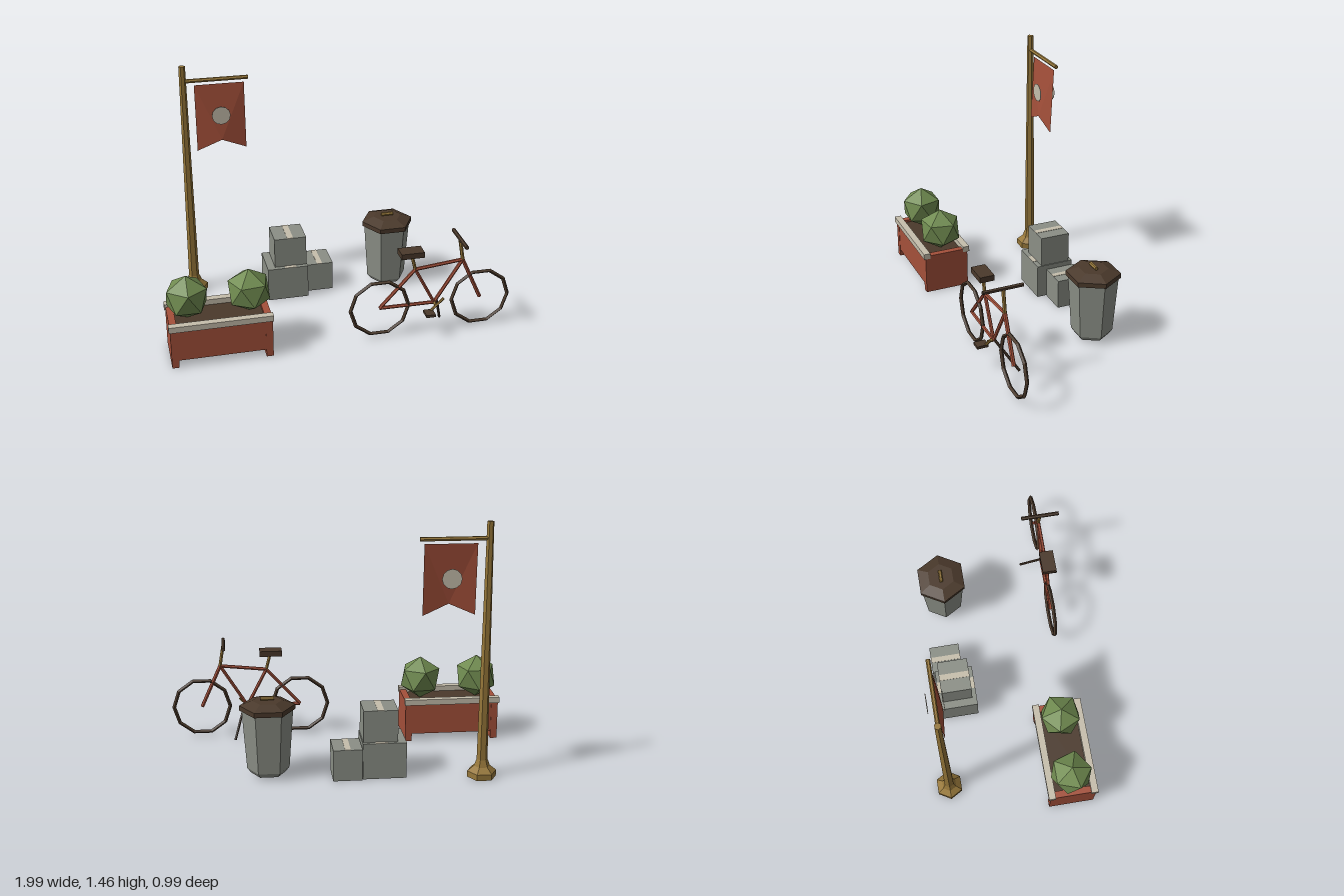
import * as THREE from 'three';

const mat = (name, color, extra = {}) =>
  Object.assign(new THREE.MeshStandardMaterial({ color, flatShading: true, ...extra }), { name });

export function createModel() {
  const red = mat('brick red', 0xa4503a);
  const banner = mat('banner red', 0xa4503a, { side: THREE.DoubleSide });
  const gold = mat('aged brass', 0x96773a);
  const brown = mat('dark brown', 0x4a392b);
  const grey = mat('stone grey', 0x8b8f86);
  const cream = mat('cream', 0xc6beac);
  const green = mat('leaf green', 0x708b50);

  const root = new THREE.Group();
  root.name = 'streetProps';
  const group = (name) => {
    const g = new THREE.Group();
    g.name = name;
    root.add(g);
    return g;
  };
  const add = (parent, name, geo, material, x = 0, y = 0, z = 0) => {
    const m = new THREE.Mesh(geo, material);
    m.name = name;
    m.position.set(x, y, z);
    parent.add(m);
    return m;
  };
  // Box given by its minimum and maximum corners
  const box = (parent, name, material, a, b) =>
    add(parent, name, new THREE.BoxGeometry(b[0] - a[0], b[1] - a[1], b[2] - a[2]), material,
      (a[0] + b[0]) / 2, (a[1] + b[1]) / 2, (a[2] + b[2]) / 2);
  // Straight rod between two points
  const rod = (parent, name, material, a, b, r, sides = 6) => {
    const p = new THREE.Vector3(...a), q = new THREE.Vector3(...b);
    const d = q.clone().sub(p);
    const m = add(parent, name, new THREE.CylinderGeometry(r, r, d.length(), sides), material);
    m.position.copy(p).add(q).multiplyScalar(0.5);
    m.quaternion.setFromUnitVectors(new THREE.Vector3(0, 1, 0), d.normalize());
    return m;
  };
  // Six-sided turned shape with corners pointing along x
  const turned = (parent, name, material, profile, x, z) => {
    const geo = new THREE.LatheGeometry(profile.map(([r, y]) => new THREE.Vector2(r, y)), 6);
    geo.rotateY(Math.PI / 2);
    return add(parent, name, geo, material, x, 0, z);
  };

  // Planter: end boards reach the ground, side boards stop short of it
  const planter = group('planter');
  for (const x of [-0.99, -0.46]) box(planter, 'endBoard', red, [x, 0, 0.157], [x + 0.04, 0.25, 0.43]);
  for (const z of [0.16, 0.4]) box(planter, 'sideBoard', red, [-0.955, 0.045, z], [-0.455, 0.23, z + 0.028]);
  for (const z of [0.145, 0.4]) box(planter, 'rim', cream, [-0.997, 0.232, z], [-0.415, 0.267, z + 0.041]);
  box(planter, 'soil', brown, [-0.95, 0.18, 0.187], [-0.46, 0.235, 0.4]);
  [[-0.877, 0.3], [-0.528, -0.2]].forEach(([x, turn]) => {
    const geo = new THREE.IcosahedronGeometry(0.131, 0);
    geo.rotateZ(Math.atan(2 / (1 + Math.sqrt(5)))); // one corner straight up
    add(planter, 'bush', geo, green, x, 0.366, 0.292).rotation.y = turn;
  });

  // Banner post
  const post = group('bannerPost');
  const px = -0.763, pz = -0.423;
  turned(post, 'pole', gold,
    [[0, 0], [0.083, 0], [0.083, 0.035], [0.046, 0.065], [0.031, 0.105], [0.019, 1.455], [0, 1.455]], px, pz);
  rod(post, 'arm', gold, [px, 1.364, pz], [-0.385, 1.364, pz], 0.012);

  // Swallow-tailed cloth, blown forward at the notch
  const cloth = new THREE.BufferGeometry();
  cloth.setAttribute('position', new THREE.Float32BufferAttribute([
    -0.70, 1.337, -0.42, -0.41, 1.337, -0.42, -0.41, 0.938, -0.4,
    -0.555, 1.0, -0.386, -0.70, 0.938, -0.4,
  ], 3));
  cloth.setIndex([0, 3, 1, 1, 3, 2, 0, 4, 3]);
  const flat = cloth.toNonIndexed();
  flat.computeVertexNormals();
  add(post, 'banner', flat, banner);
  for (const z of [-0.377, -0.467]) {
    const disc = new THREE.CylinderGeometry(0.055, 0.055, 0.003, 12).rotateX(Math.PI / 2);
    add(post, 'bannerDisc', disc, cream, -0.555, 1.155, z);
  }

  // Stacked crates with a strip of tape on top of each
  const crates = group('crates');
  [
    [[-0.337, 0, -0.406], [-0.09, 0.21, -0.176], 0.035],
    [[-0.29, 0.21, -0.385], [-0.095, 0.396, -0.203], 0.018],
    [[-0.087, 0, -0.418], [0.078, 0.182, -0.235], 0.016],
  ].forEach(([a, b, w]) => {
    box(crates, 'crate', grey, a, b);
    const mid = (a[0] + b[0]) / 2 + (w > 0.03 ? 0.017 : 0);
    box(crates, 'tape', cream, [mid - w, b[1] - 0.001, a[2]], [mid + w, b[1] + 0.002, b[2]]);
  });

  // Waste bin
  const bin = group('wasteBin');
  const bx = 0.434, bz = -0.281;
  turned(bin, 'body', grey, [[0, 0.018], [0.1, 0.018], [0.12, 0.045], [0.145, 0.4]], bx, bz);
  turned(bin, 'lid', brown, [[0, 0.39], [0.157, 0.39], [0.157, 0.418], [0.085, 0.445], [0, 0.445]], bx, bz);
  rod(bin, 'lidHandle', gold, [bx - 0.037, 0.456, bz], [bx + 0.037, 0.456, bz], 0.011);

  // Bicycle, pointing to +x
  const bike = group('bicycle');
  const z = 0.375;
  const hub = [0.21, 0.192, z], crankHub = [0.535, 0.19, z], seatTop = [0.415, 0.42, z];
  const head = [0.697, 0.45, z], frontHub = [0.813, 0.192, z];
  for (const [x, y] of [hub, frontHub])
    add(bike, 'wheel', new THREE.TorusGeometry(0.172, 0.0115, 4, 10), brown, x, y, z);
  [
    ['chainStay', hub, crankHub], ['seatStay', hub, seatTop], ['seatTube', crankHub, seatTop],
    ['topTube', seatTop, head], ['downTube', head, crankHub], ['fork', head, frontHub],
  ].forEach(([name, a, b]) => rod(bike, name, red, a, b, name === 'fork' ? 0.012 : 0.0105));
  rod(bike, 'seatPost', gold, seatTop, [0.39, 0.52, z], 0.01);
  box(bike, 'saddle', brown, [0.32, 0.512, 0.333], [0.455, 0.545, 0.417]);
  rod(bike, 'stem', gold, head, [0.675, 0.585, z], 0.011);
  rod(bike, 'handlebar', brown, [0.675, 0.585, 0.26], [0.675, 0.585, 0.492], 0.012);
  rod(bike, 'crankAxle', gold, crankHub, [0.535, 0.19, 0.412], 0.009);
  rod(bike, 'crank', gold, [0.505, 0.152, 0.408], [0.582, 0.228, 0.408], 0.008);
  box(bike, 'pedal', brown, [0.465, 0.143, 0.398], [0.52, 0.159, 0.465]);
  rod(bike, 'kickstand', brown, [0.552, 0.2, z], [0.615, 0.01, 0.256], 0.008);

  return root;
}
